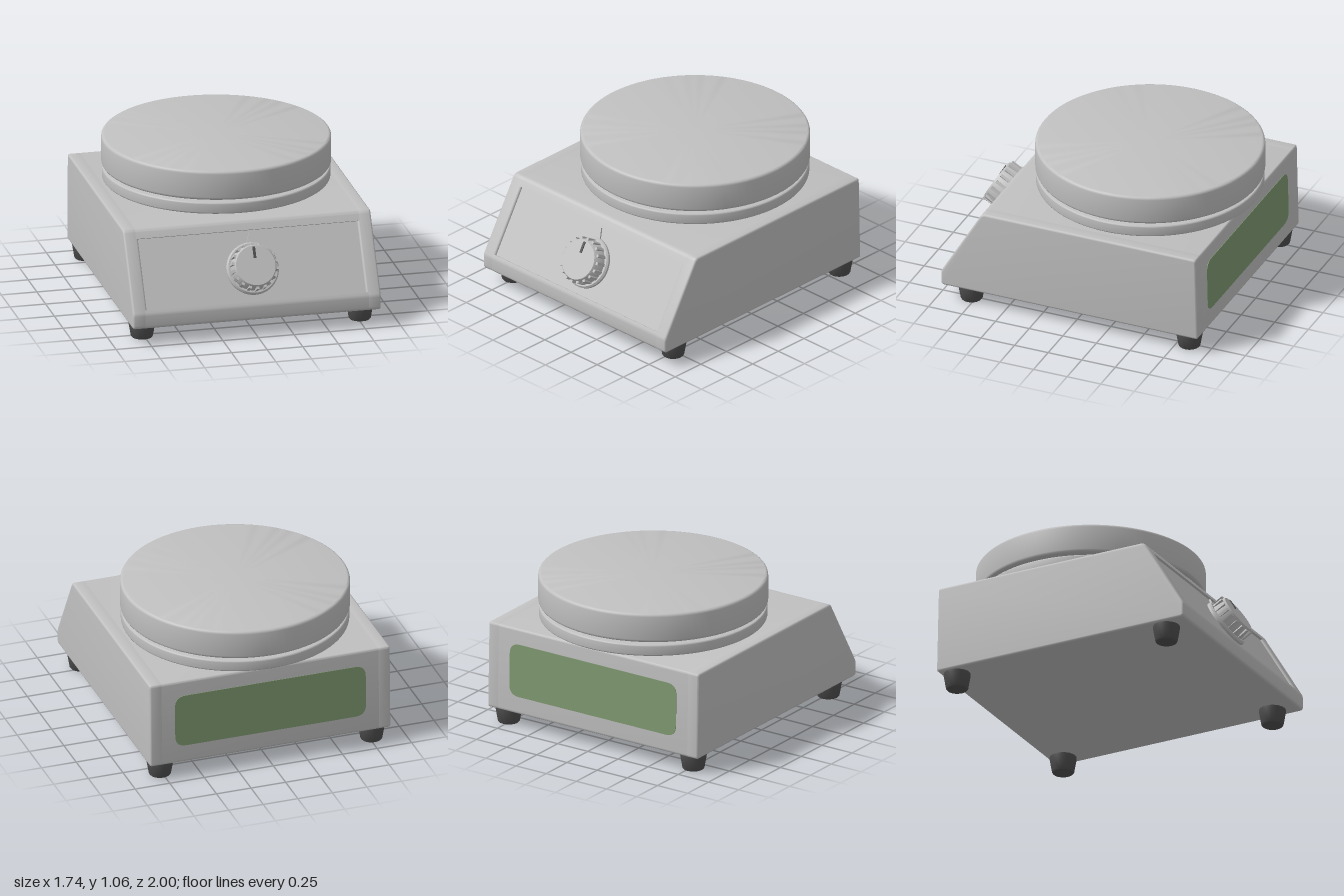
import * as THREE from 'three';
import { toCreasedNormals } from 'three/addons/utils/BufferGeometryUtils.js';

const mat = (name, color) => new THREE.MeshStandardMaterial({ name, color });

export function createModel() {
  const model = new THREE.Group();
  model.name = 'hotPlate';
  const grey = mat('light grey', 0xc0c0c0);
  const rubber = mat('dark rubber', 0x505050);
  const green = mat('muted green', 0x7f9971);

  const add = (name, geometry, material, parent = model) => {
    const mesh = new THREE.Mesh(geometry, material);
    mesh.name = name;
    parent.add(mesh);
    return mesh;
  };
  const lathe = (points, segments = 64) => toCreasedNormals(
    new THREE.LatheGeometry(points.map(([r, y]) => new THREE.Vector2(r, y)), segments), 0.6);
  // solid disc with rounded rims
  const disc = (radius, y0, y1, bevel, segments = 96) => {
    const pts = [[0, y0]];
    for (let i = 0; i <= 4; i++) {
      const a = (i / 4) * Math.PI / 2;
      pts.push([radius - bevel + bevel * Math.sin(a), y0 + bevel - bevel * Math.cos(a)]);
    }
    for (let i = 0; i <= 4; i++) {
      const a = (i / 4) * Math.PI / 2;
      pts.push([radius - bevel + bevel * Math.cos(a), y1 - bevel + bevel * Math.sin(a)]);
    }
    pts.push([0, y1]);
    return lathe(pts, segments);
  };
  // closed shape with softened corners
  const roundedShape = (corners, radii) => {
    const shape = new THREE.Shape();
    const p = corners.map(([x, y]) => new THREE.Vector2(x, y));
    p.forEach((c, i) => {
      const toward = q => q.clone().sub(c).setLength(radii[i]).add(c);
      const a = toward(p[(i + p.length - 1) % p.length]);
      const b = toward(p[(i + 1) % p.length]);
      if (i === 0) shape.moveTo(a.x, a.y); else shape.lineTo(a.x, a.y);
      if (radii[i] > 0.0001) shape.quadraticCurveTo(c.x, c.y, b.x, b.y);
    });
    shape.closePath();
    return shape;
  };

  // Housing side profile as (z, y), with a sloping front
  const slopeZ = y => 0.965 - 0.592 * (y - 0.22);
  const depth = 0.015, nz = 0.86, ny = 0.51;
  const bottom = [[-0.945, 0.115], [0.965, 0.115], [0.965, 0.22]];
  const top = [[0.66, 0.735], [-0.93, 0.735]];
  const recess = [
    [slopeZ(0.245), 0.245],
    [slopeZ(0.245) - nz * depth, 0.245 - ny * depth],
    [slopeZ(0.675) - nz * depth, 0.675 - ny * depth],
    [slopeZ(0.675), 0.675],
  ];
  const full = roundedShape([...bottom, ...top], [0.02, 0.025, 0.02, 0.025, 0.02]);
  const notched = roundedShape([...bottom, ...recess, ...top],
    [0.02, 0.025, 0.02, 0, 0, 0, 0, 0.025, 0.02]);
  const across = (shape, x0, x1, bevel) => {
    const g = new THREE.ExtrudeGeometry(shape, {
      depth: x1 - x0 - 2 * bevel, curveSegments: 5, bevelEnabled: bevel > 0,
      bevelSize: bevel, bevelThickness: bevel, bevelOffset: -bevel, bevelSegments: 3,
    });
    g.rotateY(-Math.PI / 2);
    g.translate(x1 - bevel, 0, 0);
    return toCreasedNormals(g, 0.6);
  };
  add('housing', across(notched, -0.785, 0.785, 0), grey);
  add('leftCheek', across(full, 0.77, 0.87, 0.014), grey);
  add('rightCheek', across(full, -0.87, -0.77, 0.014), grey);

  // Rounded panel on the back, tilted with the rear wall
  const w = 0.69, h = 0.19;
  const panel = add('backPanel', new THREE.ExtrudeGeometry(
    roundedShape([[-w, -h], [w, -h], [w, h], [-w, h]], [0.08, 0.08, 0.08, 0.08]),
    { depth: 0.006, bevelEnabled: false, curveSegments: 8 }), green);
  panel.position.set(0, 0.432, -0.935);
  panel.rotation.set(Math.atan(0.015 / 0.62), Math.PI, 0, 'XYZ');

  // Heating plate, lower ring and their supports
  const heater = new THREE.Group();
  heater.name = 'heater';
  heater.position.z = -0.215;
  model.add(heater);
  add('heatingPlate', disc(0.785, 0.85, 1.06, 0.022), grey, heater);
  add('lowerRing', disc(0.78, 0.75, 0.832, 0.012), grey, heater);
  add('hub', new THREE.CylinderGeometry(0.1, 0.1, 0.16, 32).translate(0, 0.78, 0), grey, heater);
  for (let i = 0; i < 6; i++) {
    const a = (i + 0.5) * Math.PI / 3;
    const pad = add('spacerPad', new THREE.CylinderGeometry(0.07, 0.09, 0.012, 20), grey, heater);
    pad.position.set(0.6 * Math.sin(a), 0.837, 0.6 * Math.cos(a));
  }

  // Feet
  for (const x of [-0.765, 0.765]) for (const z of [-0.84, 0.78]) {
    const foot = add('foot', lathe(
      [[0, 0], [0.07, 0], [0.076, 0.008], [0.092, 0.1], [0.092, 0.12], [0, 0.12]], 32), rubber);
    foot.position.set(x, 0, z);
  }

  // Control knob, its axis square to the sloping panel
  const knob = new THREE.Group();
  knob.name = 'knob';
  knob.position.set(0, 0.437, 0.822);
  knob.rotation.x = Math.atan2(nz, ny);
  model.add(knob);
  add('knobSkirt', lathe([[0, 0], [0.182, 0], [0.182, 0.016], [0.172, 0.028], [0, 0.028]]), grey, knob);
  add('knobBody', lathe([[0, 0.02], [0.158, 0.02], [0.145, 0.112], [0.138, 0.12], [0, 0.12]]), grey, knob);
  for (let i = 0; i < 18; i++) {
    const a = (i / 18) * Math.PI * 2;
    const rib = add('knobRib', new THREE.BoxGeometry(0.02, 0.08, 0.022), grey, knob);
    rib.position.set(0.152 * Math.sin(a), 0.066, 0.152 * Math.cos(a));
    rib.rotation.y = a;
  }
  add('knobMark', new THREE.BoxGeometry(0.018, 0.008, 0.08).translate(0, 0.122, -0.09), rubber, knob);
  // small pointer on the panel above the knob
  const pointer = new THREE.Shape([[-0.025, 0.17], [0.03, 0.17], [0.005, 0.25]]
    .map(([x, y]) => new THREE.Vector2(x, y)));
  const tip = add('pointer', new THREE.ExtrudeGeometry(pointer, { depth: 0.012, bevelEnabled: false }), grey, knob);
  tip.rotation.x = -Math.PI / 2;

  return model;
}
